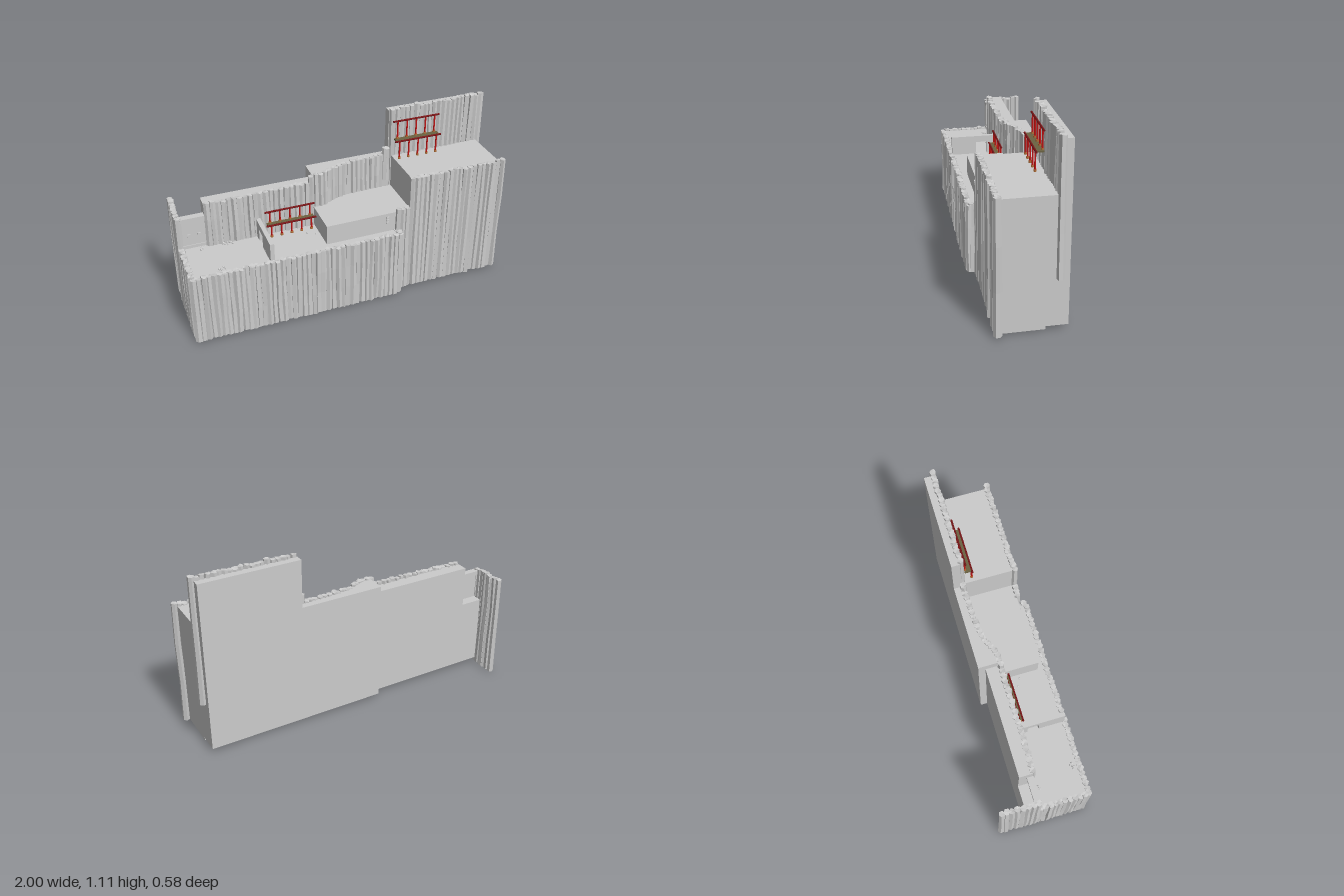
import * as THREE from 'three';
import { mergeGeometries } from 'three/addons/utils/BufferGeometryUtils.js';

const grey = new THREE.MeshStandardMaterial({ color: 0xcccccc, flatShading: true });
const coloured = (color) => new THREE.MeshStandardMaterial({ color });
const red = coloured(0xc81414), darkRed = coloured(0x7a1618);
const wood = coloured(0x6b6242), copper = coloured(0xb4703a);

let seed = 7;
const rnd = () => {
  seed = (seed * 16807) % 2147483647;
  return seed / 2147483647;
};
const jit = (a) => (rnd() * 2 - 1) * a;

// One irregular six-sided rock column with a crooked, slightly tapering shaft
function column(x, z, y0, y1, r) {
  const sides = 6, rings = 3;
  const g = new THREE.CylinderGeometry(1, 1, 1, sides, rings);
  const radii = [], shiftX = [], shiftZ = [], tops = [];
  for (let i = 0; i < sides; i++) {
    radii.push(r * (0.8 + rnd() * 0.3));
    tops.push(jit(0.004));
  }
  for (let i = 0; i <= rings; i++) {
    shiftX.push(jit(0.003));
    shiftZ.push(jit(0.003));
  }
  const turn = rnd() * Math.PI, p = g.attributes.position;
  for (let i = 0; i < p.count; i++) {
    const px = p.getX(i), pz = p.getZ(i), t = p.getY(i) + 0.5;
    const ring = Math.round(t * rings);
    const a = Math.atan2(pz, px);
    const side = (Math.round((a / (Math.PI * 2)) * sides + 0.01) + sides) % sides;
    const rad = Math.hypot(px, pz) < 0.1 ? 0 : radii[side] * (1.04 - 0.16 * t);
    p.setXYZ(i,
      x + Math.cos(a + turn) * rad + shiftX[ring],
      y0 + (y1 - y0) * t + (ring === rings && rad ? tops[side] : 0),
      z + Math.sin(a + turn) * rad + shiftZ[ring]);
  }
  return g;
}

// Row of rock columns along a polyline of [x, z] points
function columnWall(name, points, y0, y1, step = 0.031) {
  const path = new THREE.CurvePath();
  for (let i = 1; i < points.length; i++) {
    path.add(new THREE.LineCurve(new THREE.Vector2(...points[i - 1]), new THREE.Vector2(...points[i])));
  }
  const n = Math.max(1, Math.round(path.getLength() / step));
  const parts = [];
  for (let i = 0; i <= n; i++) {
    const p = path.getPointAt(i / n);
    parts.push(column(p.x, p.y, y0 + rnd() * 0.008, y1 - rnd() * 0.012, 0.0225));
  }
  const mesh = new THREE.Mesh(mergeGeometries(parts), grey);
  mesh.name = name;
  return mesh;
}

// Box given by its limits on each axis
function block(name, x0, x1, y0, y1, z0, z1, mat = grey) {
  const m = new THREE.Mesh(new THREE.BoxGeometry(x1 - x0, y1 - y0, z1 - z0), mat);
  m.position.set((x0 + x1) / 2, (y0 + y1) / 2, (z0 + z1) / 2);
  m.name = name;
  return m;
}

// Vertical prism over an outline of [x, z] points
function prism(name, outline, y0, y1) {
  const shape = new THREE.Shape(outline.map(([x, z]) => new THREE.Vector2(x, -z)));
  const g = new THREE.ExtrudeGeometry(shape, { depth: y1 - y0, bevelEnabled: false });
  g.rotateX(-Math.PI / 2);
  const m = new THREE.Mesh(g, grey);
  m.position.y = y0;
  m.name = name;
  return m;
}

// Two-tier rail stand: front posts, a plank, then rear posts
function railing(name, x0, x1, y0, tier, zFront, zBack) {
  const group = new THREE.Group();
  group.name = name;
  const rod = (part, r, len, mat, x, y, z, along) => {
    const m = new THREE.Mesh(new THREE.CylinderGeometry(r, r, len, 8), mat);
    if (along) m.rotation.z = Math.PI / 2;
    m.position.set(x, y, z);
    m.name = part;
    group.add(m);
  };
  const mid = (x0 + x1) / 2, len = x1 - x0;
  [zFront, zBack].forEach((z, level) => {
    const base = y0 + tier * level;
    rod('rail', 0.006, len, darkRed, mid, base + tier, z, true);
    for (let i = 0; i < 5; i++) {
      const x = x0 + 0.03 + (i * (len - 0.06)) / 4;
      rod('post', 0.005, tier, red, x, base + tier / 2, z);
      rod('postFoot', 0.009, 0.012, copper, x, base + 0.007, z);
    }
  });
  group.add(block('plank', x0 + 0.01, x1 - 0.01, y0 + tier - 0.005, y0 + tier + 0.003, zBack - 0.005, zFront, wood));
  return group;
}

export function createModel() {
  const model = new THREE.Group();

  // Solid bodies behind the rock cladding
  model.add(
    block('lowerBase', -0.965, 0.29, 0.012, 0.45, -0.04, 0.255),
    block('lowerBackBase', -0.965, -0.16, 0.03, 0.47, -0.122, -0.04),
    block('lowerBackWall', -0.82, -0.16, 0.47, 0.73, -0.122, -0.04),
    prism('middleBackWall',
      [[-0.16, -0.165], [-0.16, -0.035], [-0.08, -0.04], [0, -0.085], [0.1, -0.108], [0.36, -0.115], [0.36, -0.165]],
      0.57, 0.785),
    block('middleBlock', -0.16, 0.38, 0.03, 0.575, -0.165, 0.208),
    block('highBlock', 0.375, 0.96, 0.03, 0.785, -0.165, 0.205),
    block('highBackWall', 0.36, 0.96, 0.5, 1.08, -0.165, -0.115),
    block('highBlockFoot', 0.3, 0.96, 0.012, 0.03, -0.04, 0.205)
  );

  // Rock column cladding
  model.add(
    columnWall('frontLowColumns', [[-0.974, 0.265], [0.29, 0.265]], 0.01, 0.463),
    columnWall('frontReturnColumns', [[0.29, 0.25], [0.285, 0.215]], 0.01, 0.463),
    columnWall('frontStepColumns', [[0.295, 0.215], [0.35, 0.215]], 0.01, 0.6),
    columnWall('frontHighColumns', [[0.375, 0.215], [0.976, 0.215]], 0.01, 0.803),
    columnWall('sideLowColumns', [[-0.976, 0.24], [-0.976, -0.03]], 0, 0.463),
    columnWall('sideHighColumns', [[-0.976, -0.05], [-0.976, -0.27]], 0, 0.675),
    columnWall('backLowColumns', [[-0.8, -0.035], [-0.2, -0.035]], 0.4, 0.75),
    columnWall('backCurveColumns',
      [[-0.17, -0.035], [-0.09, -0.035], [-0.01, -0.08], [0.08, -0.1], [0.31, -0.108]], 0.4, 0.8),
    columnWall('backStepColumn', [[0.335, -0.108], [0.35, -0.108]], 0.5, 0.845),
    columnWall('backHighColumns', [[0.38, -0.108], [0.97, -0.108]], 0.315, 1.105)
  );

  // Framed panel in the rear corner
  model.add(
    block('cornerPanel', -0.965, -0.82, 0.45, 0.65, -0.06, -0.045),
    block('panelTopRim', -0.965, -0.82, 0.635, 0.658, -0.075, -0.035)
  );
  for (const x of [-0.92, -0.86]) {
    model.add(block('panelFitting', x - 0.008, x + 0.008, 0.53, 0.545, -0.045, -0.038));
  }

  // Dividing wall with a doorway
  const wall = new THREE.Shape();
  [[-0.26, 0.44], [-0.1, 0.44], [-0.1, 0.53], [-0.03, 0.53], [-0.03, 0.44], [0.03, 0.44], [0.03, 0.572], [-0.26, 0.572]]
    .forEach(([u, v], i) => (i ? wall.lineTo(u, v) : wall.moveTo(u, v)));
  const wallGeo = new THREE.ExtrudeGeometry(wall, { depth: 0.025, bevelEnabled: false });
  wallGeo.rotateY(Math.PI / 2);
  const divider = new THREE.Mesh(wallGeo, grey);
  divider.position.x = -0.52;
  divider.name = 'dividingWall';
  model.add(divider);

  // Small fittings on the front of the middle block
  for (let i = 0; i < 3; i++) {
    model.add(block('blockFitting', 0.22, 0.236, 0.505 + i * 0.018, 0.518 + i * 0.018, 0.2, 0.215));
  }

  // Rail stands
  model.add(
    railing('lowerRailing', -0.47, -0.16, 0.45, 0.08, 0.018, -0.01),
    railing('upperRailing', 0.375, 0.68, 0.785, 0.118, -0.042, -0.08)
  );

  // Loose stones on the lower deck
  for (const [cx, cz, n] of [[-0.78, 0.215, 6], [-0.7, -0.005, 8], [-0.84, -0.01, 4], [-0.21, 0.07, 2], [-0.54, 0.15, 1]]) {
    for (let i = 0; i < n; i++) {
      const stone = new THREE.Mesh(new THREE.DodecahedronGeometry(0.005 + rnd() * 0.005), grey);
      stone.position.set(cx + jit(0.03), 0.454, cz + jit(0.012));
      stone.rotation.set(rnd() * 3, rnd() * 3, 0);
      stone.name = 'looseStone';
      model.add(stone);
    }
  }
  return model;
}
